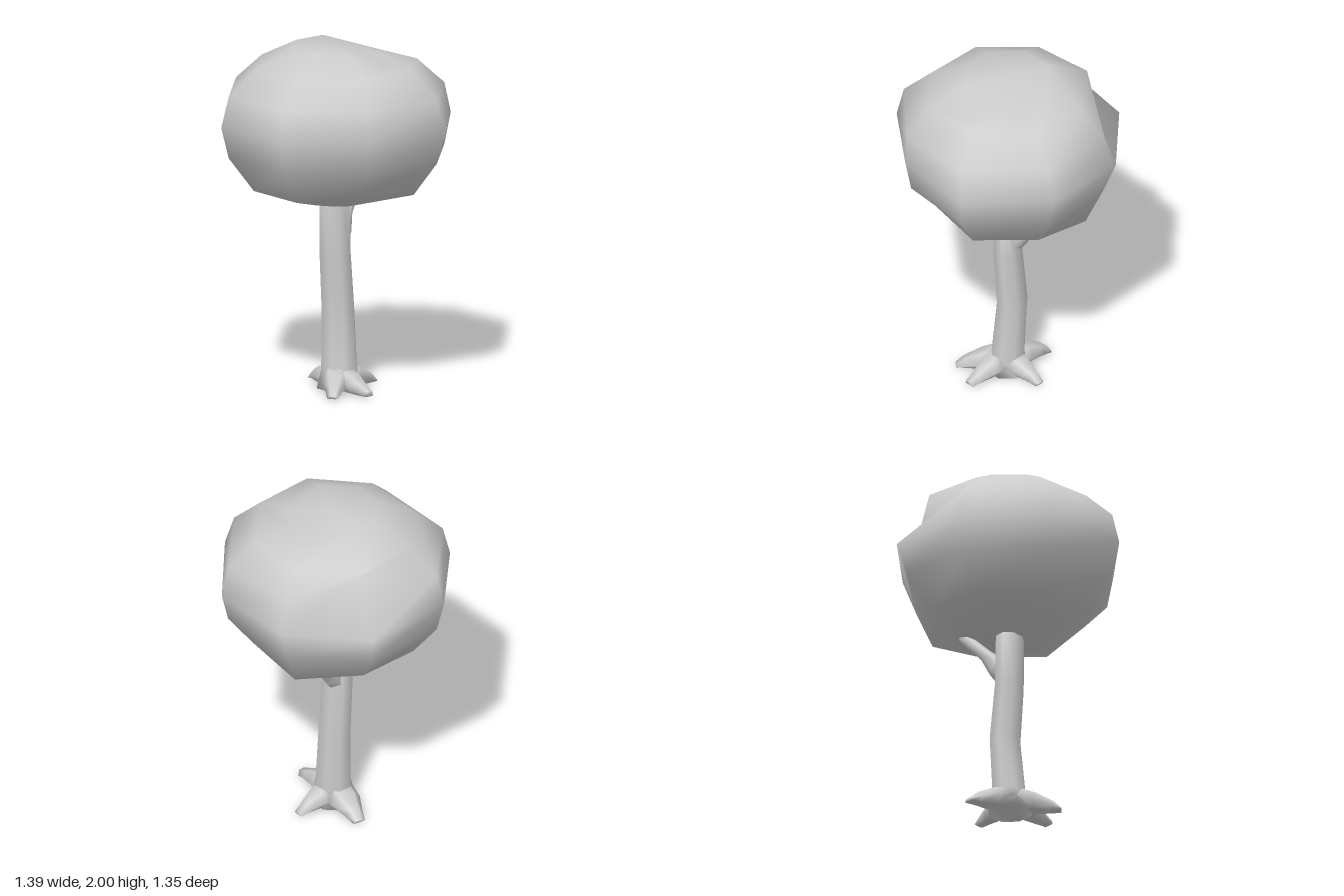
import * as THREE from 'three';
import { mergeVertices } from 'three/addons/utils/BufferGeometryUtils.js';

const grey = new THREE.MeshStandardMaterial({ color: 0xcccccc });
const V = (x, y, z) => new THREE.Vector3(x, y, z);

// Tapered tube through stations [x, y, z, radius across, radius along], closed at both ends
function loft(stations, sides, ref) {
  const pts = stations.map(s => V(s[0], s[1], s[2]));
  const pos = [], index = [], n = pts.length;
  stations.forEach(([, , , a, b = a], i) => {
    const t = pts[Math.min(i + 1, n - 1)].clone().sub(pts[Math.max(i - 1, 0)]).normalize();
    const u = t.clone().cross(ref).normalize();
    const v = t.clone().cross(u);
    for (let k = 0; k < sides; k++) {
      const w = (k / sides) * Math.PI * 2;
      const p = pts[i].clone().addScaledVector(u, a * Math.cos(w)).addScaledVector(v, b * Math.sin(w));
      pos.push(p.x, Math.max(0, p.y), p.z);
    }
  });
  for (let i = 0; i < n - 1; i++) {
    for (let k = 0; k < sides; k++) {
      const a = i * sides + k, b = i * sides + (k + 1) % sides;
      index.push(a, b, a + sides, b, b + sides, a + sides);
    }
  }
  const last = (n - 1) * sides;
  for (let k = 1; k < sides - 1; k++) {
    index.push(0, k + 1, k, last, last + k, last + k + 1);
  }
  const g = new THREE.BufferGeometry();
  g.setAttribute('position', new THREE.Float32BufferAttribute(pos, 3));
  g.setIndex(index);
  g.computeVertexNormals();
  return g;
}

function add(group, name, geometry) {
  const mesh = new THREE.Mesh(geometry, grey);
  mesh.name = name;
  group.add(mesh);
}

// Eight-sided crown with a few vertices pushed out of place
function crownGeometry() {
  const profile = [[0, 1.055], [0.25, 1.115], [0.495, 1.18], [0.645, 1.38], [0.69, 1.56],
    [0.645, 1.74], [0.48, 1.89], [0.26, 2.0], [0, 2.0]];
  const rings = profile.length;
  let g = new THREE.LatheGeometry(profile.map(p => new THREE.Vector2(...p)), 8);
  g.scale(1, 1, 0.975);
  g.translate(-0.008, 0, 0);
  // Split every quad along the diagonal that rises with the column
  const index = [];
  for (let column = 0; column < 8; column++) {
    for (let ring = 0; ring < rings - 1; ring++) {
      const a = column * rings + ring, b = a + rings;
      index.push(a, b, b + 1, b + 1, a + 1, a);
    }
  }
  g.setIndex(index);
  // [column counted from the front towards +x, ring from the bottom, x, y, z]
  const dents = [
    [1, 2, 0.31, 1.23, 0.31], [1, 3, 0.41, 1.38, 0.41], [1, 4, 0.435, 1.56, 0.435],
    [1, 5, 0.42, 1.74, 0.43], [1, 6, 0.34, 1.9, 0.33], [1, 7, 0.17, 2, 0.18],
    [2, 4, 0.69, 1.56, -0.01], [2, 6, 0.47, 1.9, 0], [2, 7, 0.31, 1.91, 0],
    [3, 4, 0.465, 1.56, -0.49], [3, 7, 0.18, 1.93, -0.18],
    [4, 2, 0, 1.13, -0.49], [4, 3, 0, 1.35, -0.59], [4, 5, 0, 1.73, -0.61],
    [4, 6, 0, 1.88, -0.47], [4, 7, 0, 1.95, -0.25],
    [5, 4, -0.5, 1.56, -0.49], [5, 5, -0.31, 1.82, -0.31], [5, 6, -0.36, 1.9, -0.35],
  ];
  for (const [column, ring, x, y, z] of dents) {
    g.attributes.position.setXYZ(column * rings + ring, x, y, z);
  }
  g.deleteAttribute('uv');
  g.deleteAttribute('normal');
  g = mergeVertices(g, 1e-4);
  g.computeVertexNormals();
  return g;
}

export function createModel() {
  const tree = new THREE.Group();
  tree.name = 'tree';

  add(tree, 'crown', crownGeometry());

  // Slightly bent trunk, widening at the foot
  add(tree, 'trunk', loft([
    [0, 0, -0.01, 0.13], [0, 0.12, -0.015, 0.11, 0.098], [-0.017, 0.45, -0.033, 0.1, 0.09],
    [-0.02, 0.78, -0.005, 0.097, 0.083], [-0.02, 1.2, 0, 0.095, 0.08],
  ], 8, V(0, 0, 1)));

  // Side branch rising at the back into the crown
  add(tree, 'branch', loft([
    [-0.02, 0.82, 0, 0.07], [-0.02, 0.915, -0.08, 0.06], [-0.025, 1.0, -0.15, 0.036], [-0.03, 1.15, -0.3, 0.03],
  ], 6, V(1, 0, 0)));

  // Roots: [tip x, tip z, half width, tip half height]
  const roots = new THREE.Group();
  roots.name = 'roots';
  tree.add(roots);
  const tips = [[0.105, 0.26, 0.045, 0.015], [0.26, 0.115, 0.045, 0.035],
    [0.1, -0.25, 0.045, 0.012], [-0.24, -0.16, 0.055, 0.012]];
  for (const [x, z, w, h] of tips) {
    add(roots, 'root', loft([
      [x * 0.1, 0.07, z * 0.1, 0.1, 0.075], [x * 0.45, 0.055, z * 0.45, w * 1.7, 0.06],
      [x * 0.8, 0.025, z * 0.8, w, 0.042], [x, 0.006, z, w * 0.7, h],
    ], 6, V(0, 1, 0)));
  }
  return tree;
}
